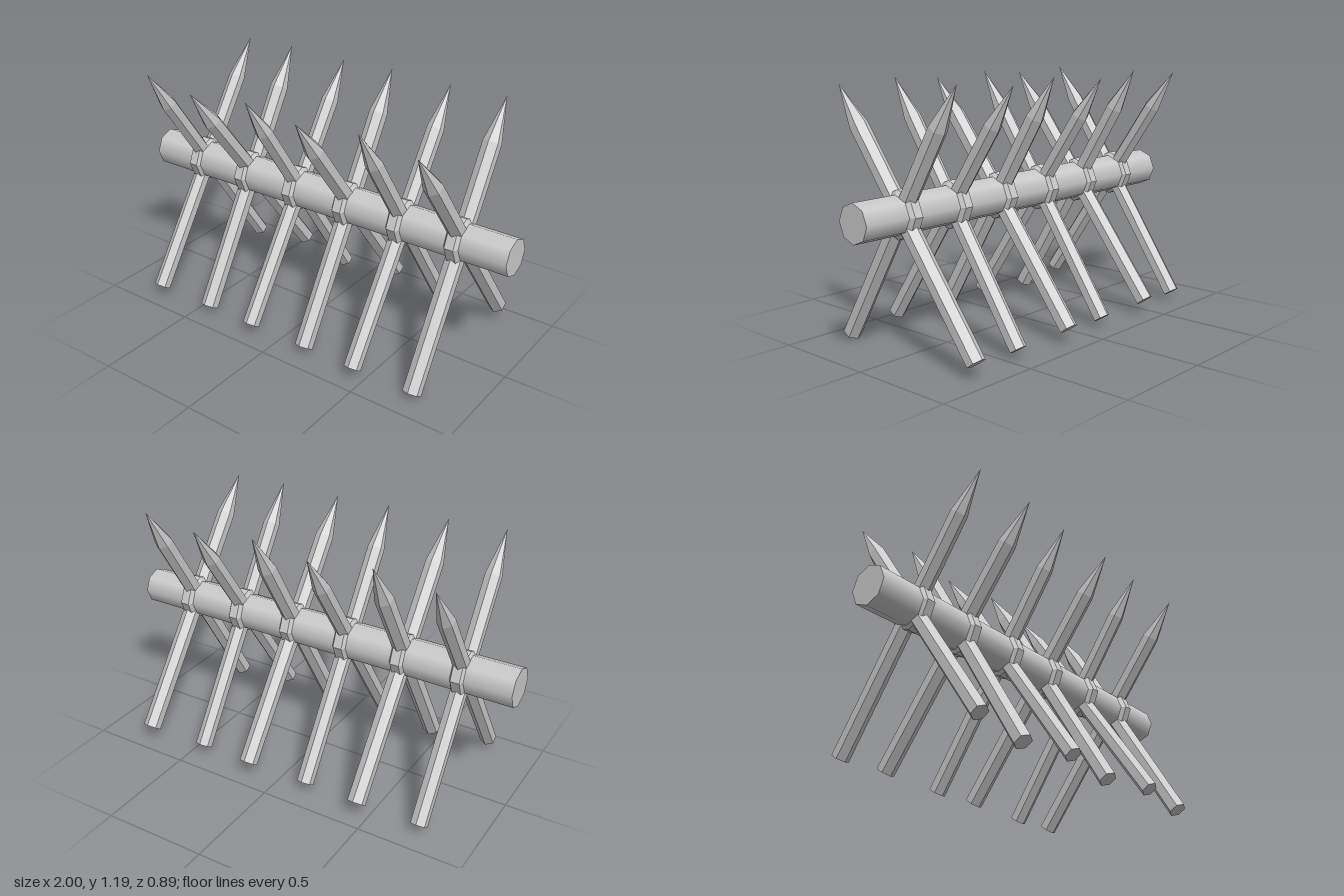
import * as THREE from 'three';

const AXIS_Y = 0.63, AXIS_Z = 0.015;

export function createModel() {
  const model = new THREE.Group();
  model.name = 'spikedBarrier';
  const smooth = new THREE.MeshStandardMaterial({ color: 0xcccccc });
  const flat = new THREE.MeshStandardMaterial({ color: 0xcccccc, flatShading: true });

  // Octagonal log along x, slightly thinner towards +x
  const log = new THREE.Mesh(new THREE.CylinderGeometry(0.088, 0.094, 2, 8), smooth);
  log.name = 'log';
  log.rotation.z = -Math.PI / 2;
  log.position.set(0, AXIS_Y, AXIS_Z);
  model.add(log);

  // Bevelled collar where each pair of stakes crosses the log
  const collarGeo = new THREE.LatheGeometry(
    [[0.085, -0.038], [0.11, -0.022], [0.11, 0.022], [0.085, 0.038]].map(p => new THREE.Vector2(...p)), 8);

  // Hexagonal stake with a sharpened top, running from its foot to its tip
  function addStake(name, x, r, foot, tip) {
    const dz = tip[0] - foot[0], dy = tip[1] - foot[1];
    const len = Math.hypot(dz, dy);
    const profile = [[0, 0], [r, 0], [r, len - 0.215], [0, len]].map(p => new THREE.Vector2(...p));
    const stake = new THREE.Mesh(new THREE.LatheGeometry(profile, 6), flat);
    stake.name = name;
    stake.position.set(x, foot[1], foot[0]);
    stake.rotation.x = Math.atan2(dz, dy);
    model.add(stake);
  }

  // Six crossings, alternating between two slightly different leans ([z, y] ends)
  const leans = [
    { r: 0.04, back: [[0.405, 0.05], [-0.355, 1.175]], front: [[-0.38, 0.045], [0.385, 1.18]] },
    { r: 0.043, back: [[0.375, 0.027], [-0.325, 1.195]], front: [[-0.418, 0.073], [0.415, 1.16]] },
  ];
  for (let i = 0; i < 6; i++) {
    const x = -0.742 + i * 0.296;
    const { r, back, front } = leans[i % 2];
    const collar = new THREE.Mesh(collarGeo, flat);
    collar.name = 'collar' + (i + 1);
    collar.rotation.z = -Math.PI / 2;
    collar.position.set(x, AXIS_Y, AXIS_Z);
    model.add(collar);
    addStake('backStake' + (i + 1), x, r, ...back);
    addStake('frontStake' + (i + 1), x, r, ...front);
  }
  return model;
}
